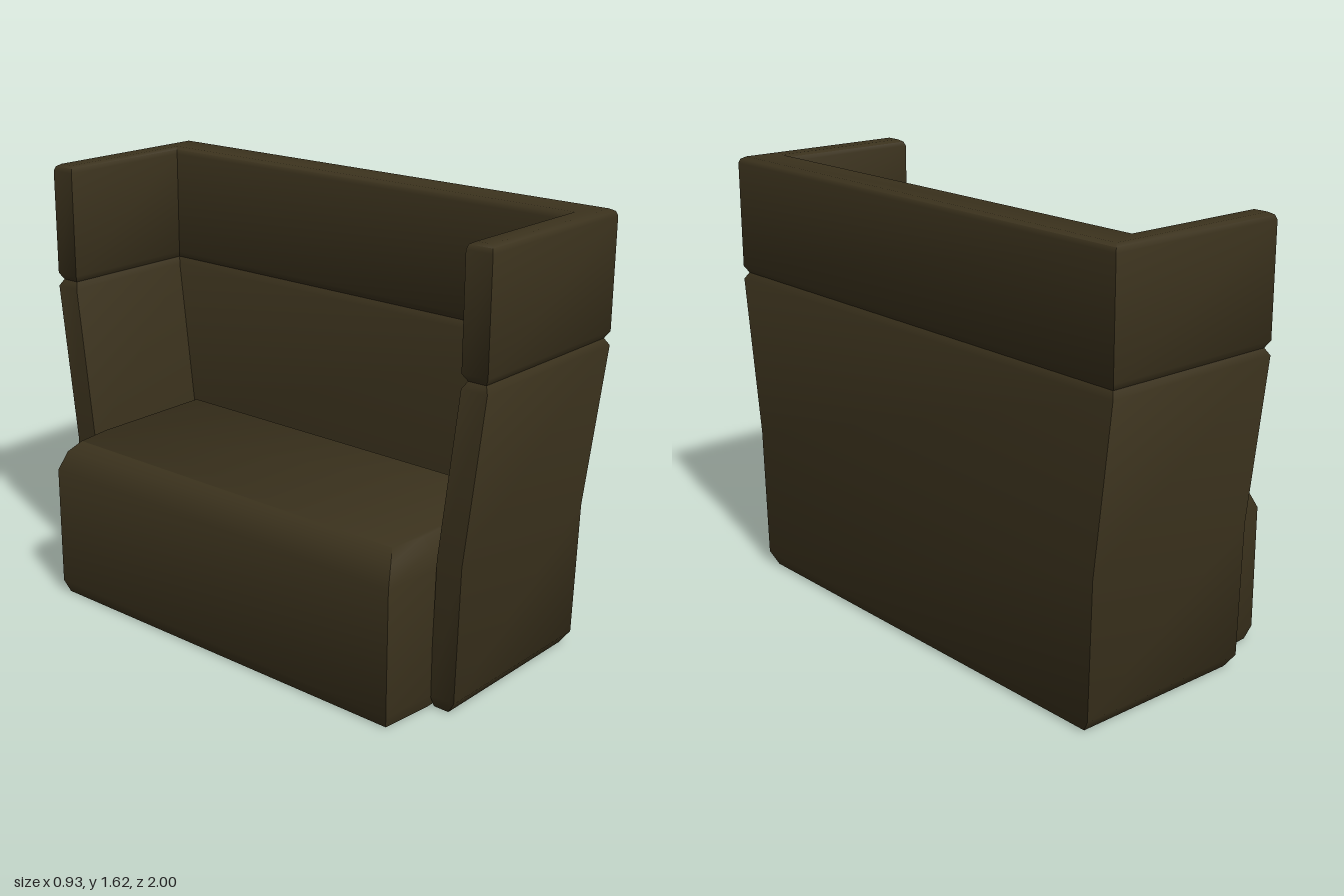
import * as THREE from 'three';
import { toCreasedNormals } from 'three/addons/utils/BufferGeometryUtils.js';

// Closed solid through stacked outlines. Each ring is { y, pts: [[x, -z], ...] }, counter-clockwise from above.
function loft(rings) {
  const n = rings[0].pts.length;
  const positions = [];
  const index = [];
  for (const { y, pts } of rings) for (const [x, v] of pts) positions.push(x, y, -v);
  for (let r = 0; r < rings.length - 1; r++) {
    for (let i = 0; i < n; i++) {
      const a = r * n + i;
      const b = r * n + ((i + 1) % n);
      index.push(a, b, b + n, a, b + n, a + n);
    }
  }
  const cap = (r, flip) => {
    const contour = rings[r].pts.map(([x, v]) => new THREE.Vector2(x, v));
    for (const [a, b, c] of THREE.ShapeUtils.triangulateShape(contour, [])) {
      index.push(r * n + a, r * n + (flip ? c : b), r * n + (flip ? b : c));
    }
  };
  cap(0, true);
  cap(rings.length - 1, false);
  const geometry = new THREE.BufferGeometry();
  geometry.setAttribute('position', new THREE.Float32BufferAttribute(positions, 3));
  geometry.setIndex(index);
  return toCreasedNormals(geometry, 0.9);
}

// U-shaped outline: back along +x, an arm at each end in z, open toward -x
function wallRing([y, halfWidth, inset]) {
  const front = -0.25 + inset;
  const back = 0.465 - inset;
  const inner = 0.3 + inset;
  const zo = halfWidth - inset;
  const zi = halfWidth - 0.1 + inset;
  return {
    y,
    pts: [[front, -zo], [back, -zo], [back, zo], [front, zo],
      [front, zi], [inner, zi], [inner, -zi], [front, -zi]],
  };
}

// Seat outline, tapering slightly in front of the arms
function seatRing([y, frontInset, endInset]) {
  const front = -0.468 + frontInset;
  const back = 0.3 - endInset;
  const z = 0.82 - endInset;
  return {
    y,
    pts: [[front, -z + 0.02], [-0.25, -z], [back, -z], [back, z], [-0.25, z], [front, z - 0.02]],
  };
}

export function createModel() {
  const group = new THREE.Group();
  const upholstery = new THREE.MeshStandardMaterial({ color: 0x3b321d });
  const add = (name, rings) => {
    const mesh = new THREE.Mesh(loft(rings), upholstery);
    mesh.name = name;
    group.add(mesh);
  };

  // Back and arms, flaring outward above the seat: [y, half width, bevel inset]
  add('backAndArms', [
    [0, 0.9, 0.02], [0.05, 0.915, 0], [0.55, 0.928, 0], [1.155, 1, 0], [1.18, 1, 0.015],
  ].map(wallRing));

  // Upright padded band around the top, separated by a groove
  add('headrestBand', [
    [1.18, 1, 0.015], [1.205, 1, 0], [1.6, 1, 0], [1.616, 1, 0.006], [1.625, 1, 0.022],
  ].map(wallRing));

  // Seat block with rounded top edges: [y, front inset, end inset]
  add('seat', [
    [0, 0.02, 0.015], [0.05, 0, 0], [0.51, 0, 0], [0.58, 0.035, 0.02], [0.617, 0.08, 0.05],
  ].map(seatRing));

  return group;
}
